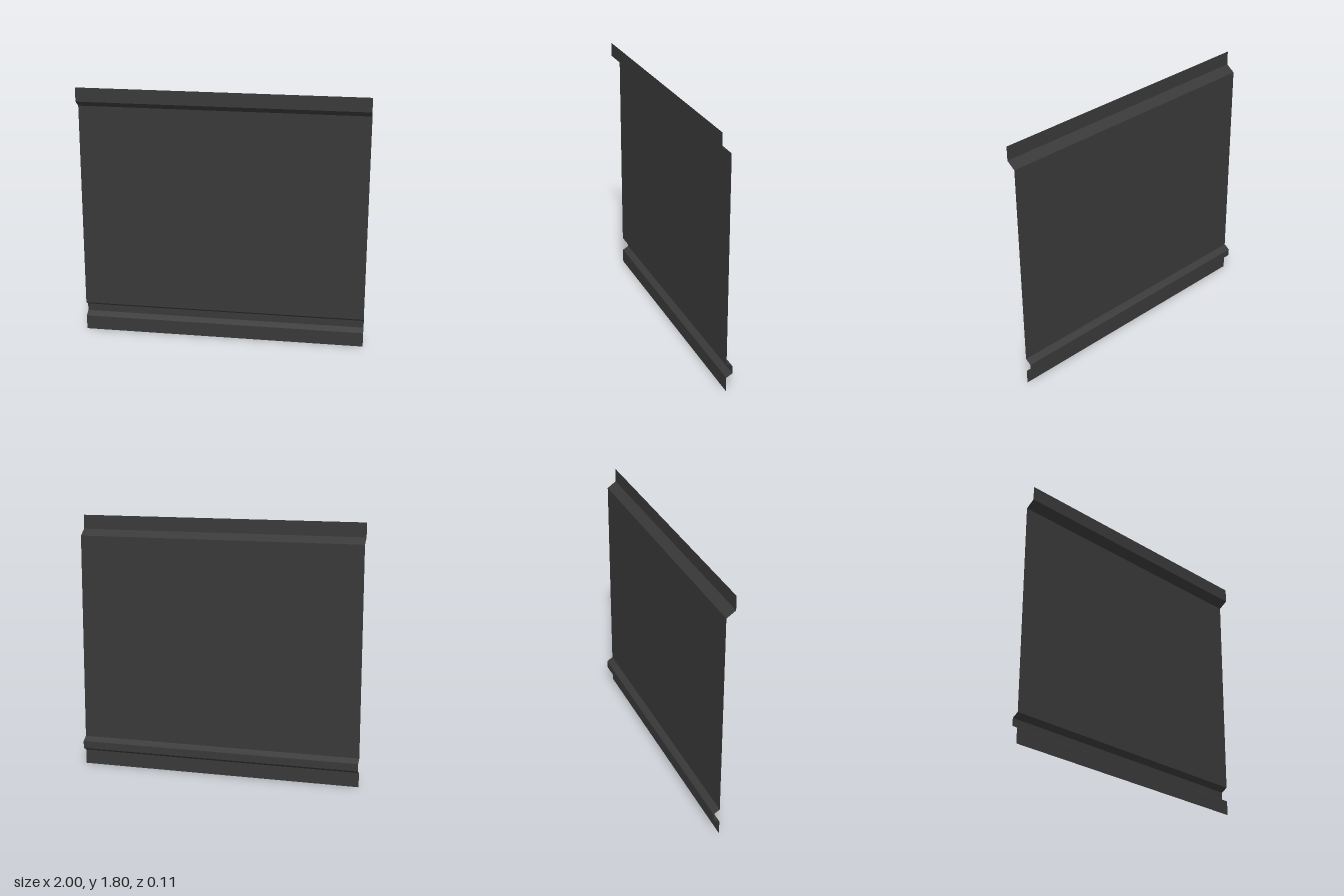
import * as THREE from 'three';

const HALF_WIDTH = 1;

// One flat strip of sheet metal across the full width, between two [y, z] profile points
function strip(name, [y0, z0], [y1, z1], material) {
  const geometry = new THREE.PlaneGeometry(2 * HALF_WIDTH, 1);
  const pos = geometry.attributes.position;
  for (let i = 0; i < pos.count; i++) {
    const upper = pos.getY(i) > 0;
    pos.setY(i, upper ? y0 : y1);
    pos.setZ(i, upper ? z0 : z1);
  }
  geometry.computeVertexNormals();
  const mesh = new THREE.Mesh(geometry, material);
  mesh.name = name;
  return mesh;
}

export function createModel() {
  const group = new THREE.Group();
  group.name = 'claddingPanel';

  const darkSheet = new THREE.MeshStandardMaterial({ color: 0x383838, side: THREE.DoubleSide });
  darkSheet.name = 'darkSheet';

  // Folded profile from top to bottom, as [y, z]
  const profile = [
    [1.803, 0.053], [1.705, 0.053], [1.663, -0.009], [0.205, -0.009],
    [0.178, -0.053], [0.126, -0.053], [0.102, -0.009], [0, -0.009],
  ];
  const names = ['topFlange', 'topFold', 'mainPanel', 'grooveUpperFold',
    'grooveBack', 'grooveLowerFold', 'bottomFlange'];

  names.forEach((name, i) => group.add(strip(name, profile[i], profile[i + 1], darkSheet)));
  return group;
}
